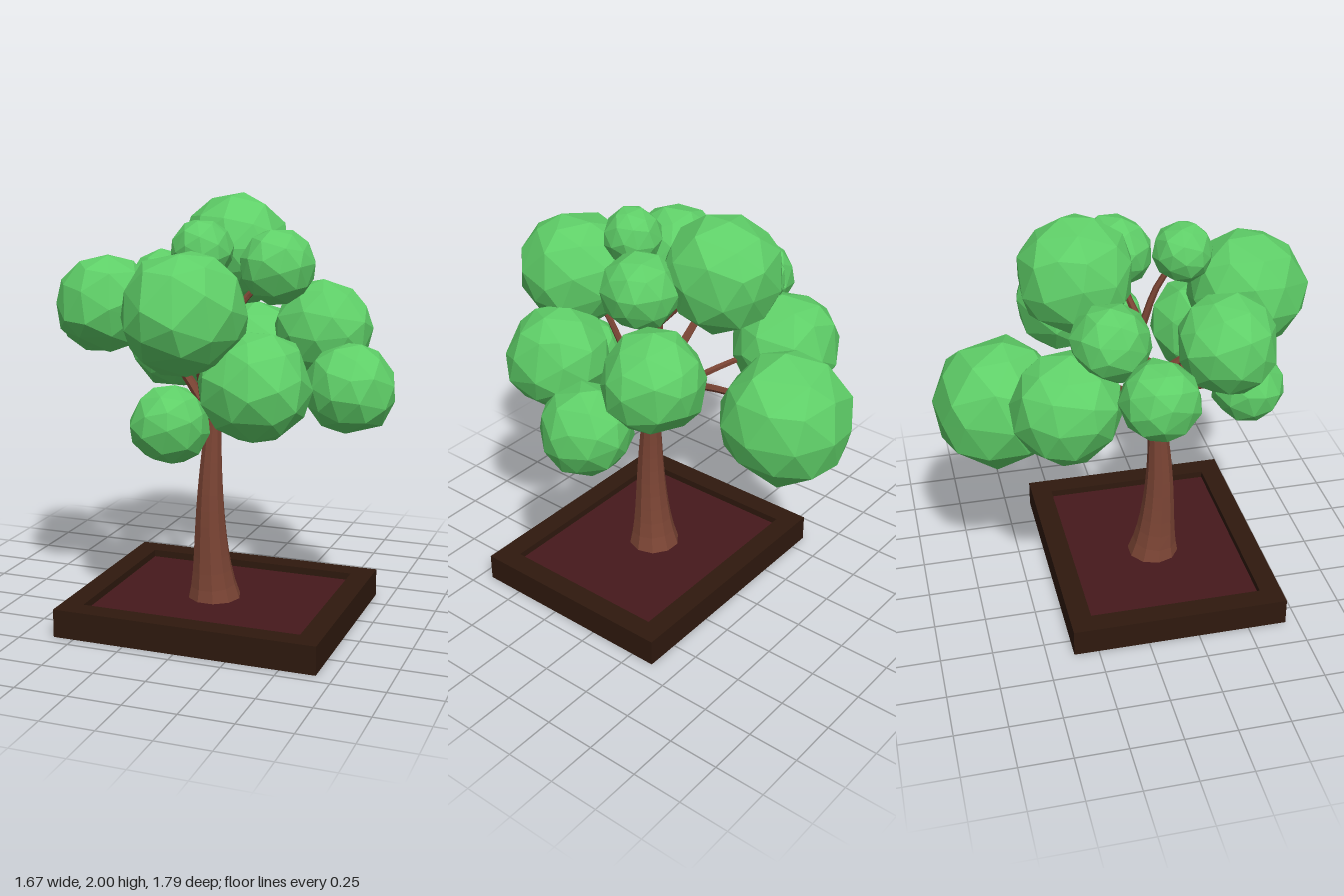
import * as THREE from 'three';
import { mergeVertices } from 'three/addons/utils/BufferGeometryUtils.js';

const mat = color => new THREE.MeshStandardMaterial({ color, flatShading: true });

function seeded(seed) {
  let s = seed * 7919 + 13;
  return () => (s = (s * 16807) % 2147483647) / 2147483647;
}

function addMesh(parent, name, geometry, material) {
  const mesh = new THREE.Mesh(geometry, material);
  mesh.name = name;
  parent.add(mesh);
  return mesh;
}

function faceted(geometry) {
  const flat = geometry.toNonIndexed();
  flat.computeVertexNormals();
  return flat;
}

// Tube along points whose radius is a function of the way along (0 to 1)
function taperedTube(points, radiusAt, sides, steps) {
  const curve = new THREE.CatmullRomCurve3(points);
  const geo = new THREE.TubeGeometry(curve, steps, 1, sides, false);
  const pos = geo.attributes.position;
  const v = new THREE.Vector3();
  for (let n = 0; n < pos.count; n++) {
    const t = Math.floor(n / (sides + 1)) / steps;
    const centre = curve.getPointAt(t);
    v.fromBufferAttribute(pos, n).sub(centre).multiplyScalar(radiusAt(t)).add(centre);
    pos.setXYZ(n, v.x, v.y, v.z);
  }
  return faceted(geo);
}

// Branch that bows gently upward and thins toward its tip
function branch(start, end, radius) {
  const bend = start.clone().lerp(end, 0.5);
  bend.y += start.distanceTo(end) * 0.06;
  bend.z -= 0.02;
  return taperedTube([start, bend, end], t => radius * (1 - 0.35 * t), 6, 6);
}

// Faceted leaf ball with slightly uneven corners
function leafBall(radius, seed) {
  const rnd = seeded(seed);
  const ico = new THREE.IcosahedronGeometry(1, 1);
  ico.deleteAttribute('normal');
  ico.deleteAttribute('uv');
  const geo = mergeVertices(ico, 1e-3);
  const pos = geo.attributes.position;
  const v = new THREE.Vector3();
  const jitter = new THREE.Vector3();
  for (let i = 0; i < pos.count; i++) {
    jitter.set(rnd() - 0.5, rnd() - 0.5, rnd() - 0.5);
    v.fromBufferAttribute(pos, i).addScaledVector(jitter, 0.2);
    v.setLength(radius * (0.98 + rnd() * 0.07));
    pos.setXYZ(i, v.x, v.y, v.z);
  }
  geo.rotateX(rnd() * 6);
  geo.rotateY(rnd() * 6);
  return faceted(geo);
}

export function createModel() {
  const model = new THREE.Group();
  model.name = 'pottedTree';
  const bark = mat(0x7a4434);
  const leaf = mat(0x5fcf68);
  const wood = mat(0x2f190e);

  // Planter: rectangular rim around a sunken bed of soil
  const planter = new THREE.Group();
  planter.name = 'planter';
  planter.position.set(0.035, 0, 0.16);
  model.add(planter);
  const [w, d, h, rim] = [1.27, 1.06, 0.135, 0.105];
  const rect = (path, a, b) => path.moveTo(-a, -b).lineTo(a, -b).lineTo(a, b).lineTo(-a, b).closePath();
  const outline = rect(new THREE.Shape(), w / 2, d / 2);
  outline.holes.push(rect(new THREE.Path(), w / 2 - rim, d / 2 - rim));
  const frame = new THREE.ExtrudeGeometry(outline, { depth: h, bevelEnabled: false });
  frame.rotateX(-Math.PI / 2);
  addMesh(planter, 'planterFrame', frame, wood);
  const bed = height => new THREE.BoxGeometry(w - 2 * rim, height, d - 2 * rim);
  addMesh(planter, 'planterFloor', bed(0.04), wood).position.y = 0.02;
  addMesh(planter, 'soil', bed(0.06), mat(0x46191c)).position.y = 0.07;

  // Trunk: flared foot, slight bow, narrowing to the fork
  const trunkPath = [];
  for (let i = 0; i <= 6; i++) {
    const bow = Math.sin(Math.PI * i / 6);
    trunkPath.push(new THREE.Vector3(-0.01 * bow, 0.09 + 0.152 * i, 0.165 + 0.025 * bow));
  }
  const trunkRadius = t => 0.036 + 0.065 * (1 - t) + 0.03 * (1 - t) ** 8;
  addMesh(model, 'trunk', taperedTube(trunkPath, trunkRadius, 10, 12), bark);

  // Limbs end at a joint; each joint carries leaf balls given as x, y, z, radius
  const fork = new THREE.Vector3(0, 0.97, 0.168);
  const limbs = [
    { name: 'left', joint: [-0.41, 1.41, 0.1], balls: [
      [-0.665, 1.415, 0.015, 0.178], [-0.452, 1.53, 0.367, 0.228], [-0.36, 1.55, -0.135, 0.18]] },
    { name: 'upper', joint: [0.02, 1.4, 0.1], balls: [
      [-0.035, 1.735, -0.225, 0.27], [-0.01, 1.78, 0.28, 0.14], [0.257, 1.685, 0.015, 0.178]] },
    { name: 'back', joint: [-0.02, 1.1, -0.02], balls: [
      [-0.035, 1.115, -0.595, 0.31], [-0.39, 1.26, -0.34, 0.255]] },
    { name: 'right', joint: [0.1, 1.04, 0.12], balls: [
      [0.625, 1.14, 0.03, 0.213], [0.425, 1.37, -0.195, 0.238]] },
    { name: 'front', joint: [0, 1.04, 0.28], balls: [
      [0.03, 1.54, 0.605, 0.28], [0.315, 1.215, 0.475, 0.253], [-0.035, 1.047, 0.615, 0.176]] },
  ];
  let seed = 0;
  for (const { name, joint, balls } of limbs) {
    const limb = new THREE.Group();
    limb.name = name + 'Limb';
    model.add(limb);
    const end = new THREE.Vector3(...joint);
    addMesh(limb, name + 'Branch', branch(fork, end, 0.027), bark);
    for (const [x, y, z, r] of balls) {
      const centre = new THREE.Vector3(x, y, z);
      addMesh(limb, name + 'Twig', branch(end, centre, 0.019), bark);
      addMesh(limb, name + 'Foliage', leafBall(r, ++seed), leaf).position.copy(centre);
    }
  }
  return model;
}
